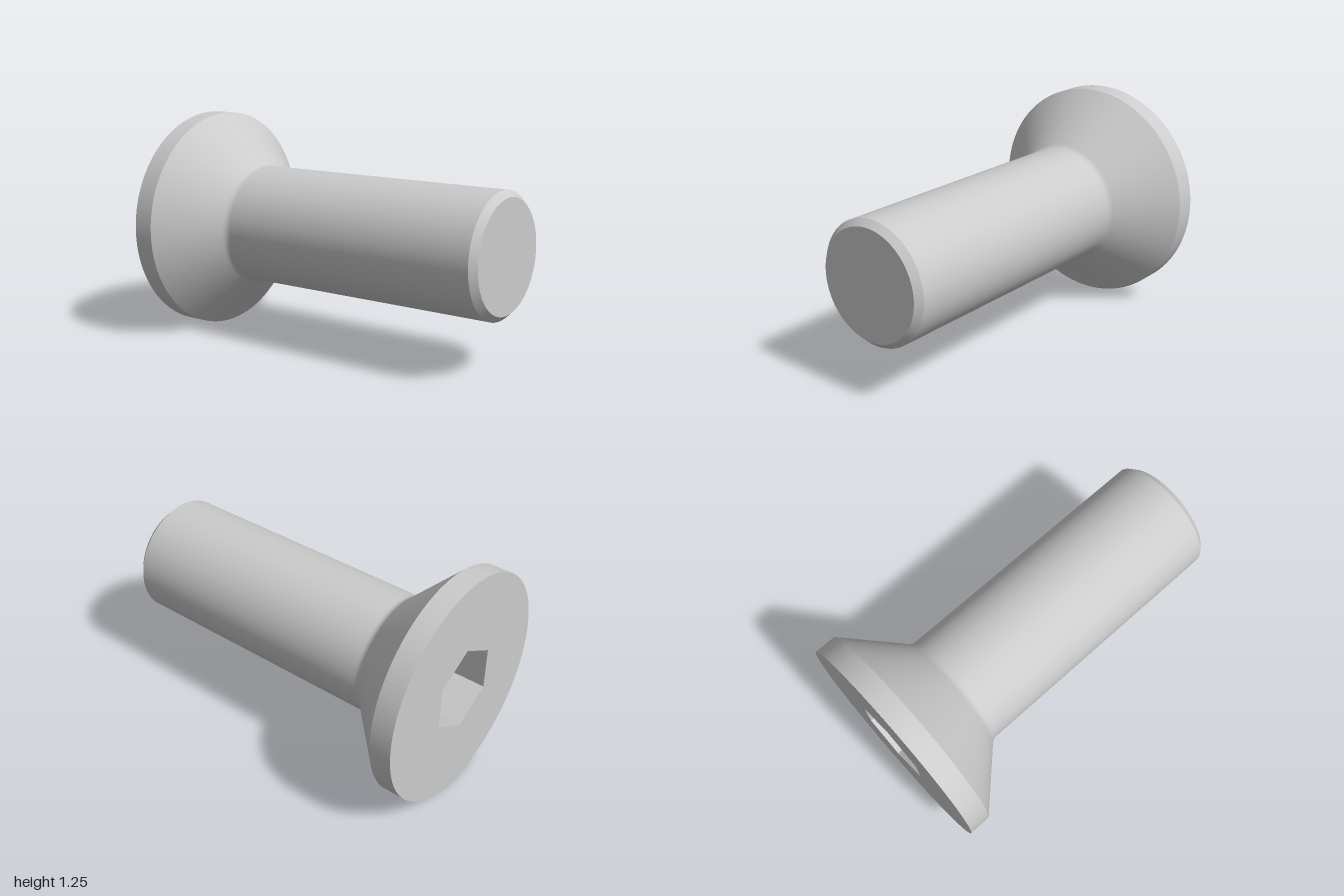
import * as THREE from 'three';

const SEG = 96;
const HEAD_R = 0.627, SHANK_R = 0.333, TIP_R = 0.3;
const SOCKET_R = 0.24, SOCKET_DEPTH = 0.25;

export function createModel() {
  const screw = new THREE.Group();
  screw.name = 'countersunkScrew';
  const material = new THREE.MeshStandardMaterial({ color: 0xcccccc });

  // Everything is built along local y, from head (-1) to tip (+1)
  const add = (name, geometry, mat = material) => {
    const mesh = new THREE.Mesh(geometry, mat);
    mesh.name = name;
    screw.add(mesh);
  };
  const turned = (points) =>
    new THREE.LatheGeometry(points.map(([r, y]) => new THREE.Vector2(r, y)), SEG);

  // Head rim
  add('headRim', turned([[HEAD_R, -1], [HEAD_R, -0.88]]));

  // Conical underside blending through a small fillet into the shank
  const neckY = -0.88 + HEAD_R - SHANK_R, f = 0.018;
  const fillet = new THREE.QuadraticBezierCurve(
    new THREE.Vector2(SHANK_R + f, neckY - f),
    new THREE.Vector2(SHANK_R, neckY),
    new THREE.Vector2(SHANK_R, neckY + f * 1.4),
  ).getPoints(6).map((p) => [p.x, p.y]);
  add('coneAndShank', turned([[HEAD_R, -0.88], [SHANK_R + f + 0.005, neckY - f - 0.005],
    ...fillet, [SHANK_R, neckY + 0.04], [SHANK_R, 0.965]]));

  // Chamfered tip
  add('tipChamfer', turned([[SHANK_R, 0.965], [TIP_R, 1]]));
  add('tipFace', new THREE.CircleGeometry(TIP_R, SEG).rotateX(-Math.PI / 2).translate(0, 1, 0));

  // Flat head face with a hexagonal opening
  const face = new THREE.Shape().absarc(0, 0, HEAD_R, 0, Math.PI * 2);
  const hex = [];
  for (let i = 0; i < 6; i++) {
    const a = -i * Math.PI / 3;
    hex.push(new THREE.Vector2(SOCKET_R * Math.cos(a), SOCKET_R * Math.sin(a)));
  }
  face.holes.push(new THREE.Path(hex));
  add('headFace', new THREE.ShapeGeometry(face, SEG).rotateX(Math.PI / 2).translate(0, -1, 0));

  // Hex socket walls and floor
  const wallMaterial = new THREE.MeshStandardMaterial({
    color: 0xcccccc, flatShading: true, side: THREE.DoubleSide,
  });
  add('socketWalls', new THREE.CylinderGeometry(SOCKET_R, SOCKET_R, SOCKET_DEPTH, 6, 1, true, Math.PI / 2)
    .translate(0, -1 + SOCKET_DEPTH / 2, 0), wallMaterial);
  add('socketFloor', new THREE.CircleGeometry(SOCKET_R, 6)
    .rotateX(Math.PI / 2).translate(0, -1 + SOCKET_DEPTH, 0));

  // Lay the screw along x, resting on the head rim
  screw.rotation.z = -Math.PI / 2;
  screw.position.y = HEAD_R;
  const model = new THREE.Group();
  model.name = 'model';
  model.add(screw);
  return model;
}
